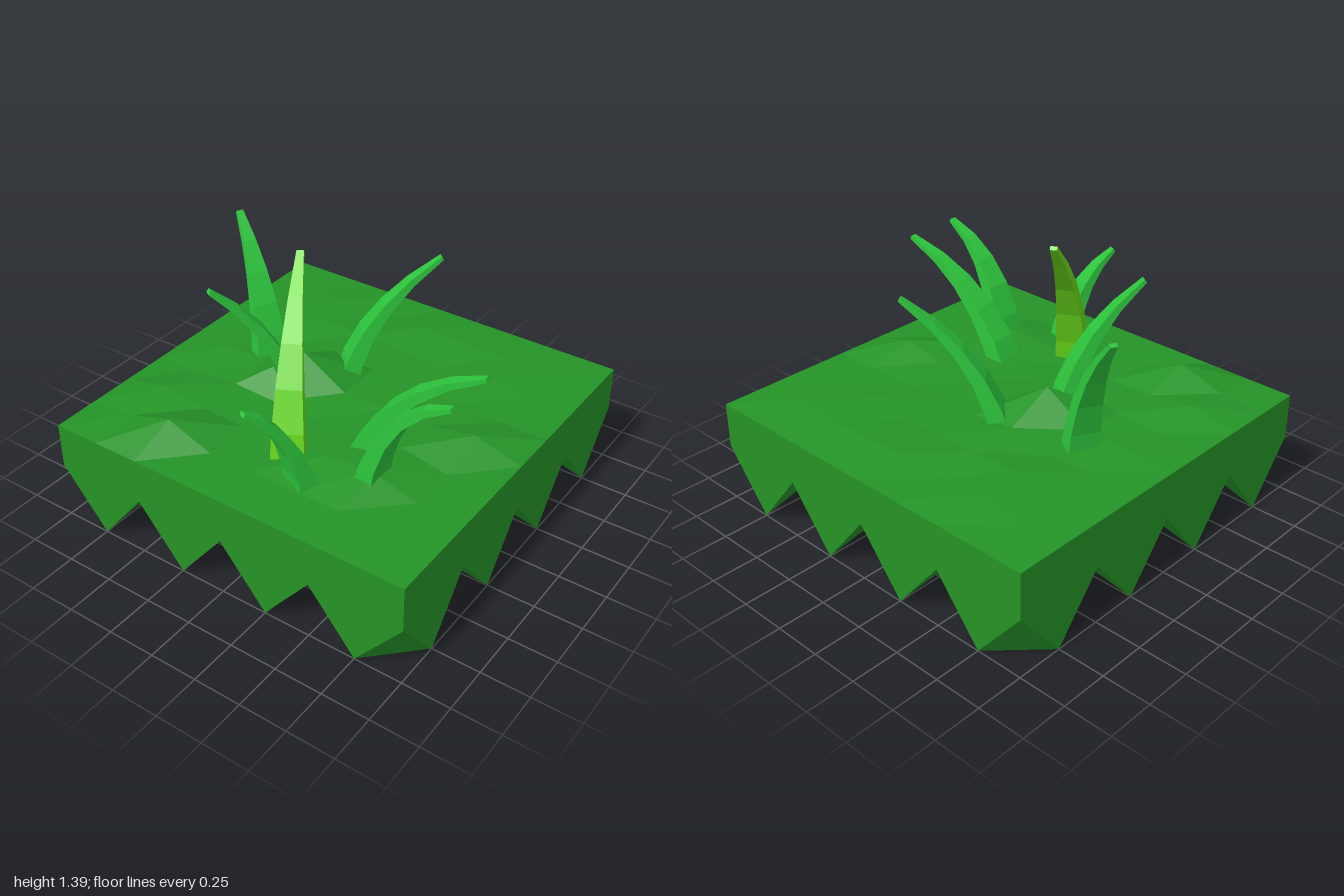
import * as THREE from 'three';

const paint = (color) => new THREE.MeshStandardMaterial({ color, flatShading: true });
const V = (x, y, z) => new THREE.Vector3(x, y, z);
const TOP = 0.55, NOTCH = 0.31, CELL = 0.25;

function part(geometry, material, name) {
  const mesh = new THREE.Mesh(geometry, material);
  mesh.name = name;
  return mesh;
}

// Move every vertex of a geometry by a rule, then refresh the normals
function reshape(geometry, rule) {
  const p = geometry.attributes.position, v = V(0, 0, 0);
  for (let i = 0; i < p.count; i++) {
    v.fromBufferAttribute(p, i);
    rule(v);
    p.setXYZ(i, v.x, v.y, v.z);
  }
  geometry.computeVertexNormals();
  return geometry;
}

const onRim = (v) => Math.max(Math.abs(v.x), Math.abs(v.z)) > 0.99;

// Gentle hills: a few marked bumps, small seeded noise elsewhere
const bumps = [
  [-0.25, 0, 0.72], [-0.5, 0.75, 0.645], [-0.75, 0.5, 0.6], [0.75, 0, 0.625],
  [0.5, 0.5, 0.62], [0.25, 0.5, 0.6], [0.5, 0.25, 0.6], [-0.25, -0.25, 0.6],
  [-0.5, -0.75, 0.58], [0.5, -0.5, 0.58], [0.75, -0.25, 0.555],
];
function hillHeight(x, z) {
  const bump = bumps.find(([bx, bz]) => Math.hypot(bx - x, bz - z) < 0.01);
  if (bump) return bump[2];
  const n = Math.abs(Math.sin(x * 51.7 + z * 93.1 + 2)) * 43.7;
  return TOP + 0.03 * (n - Math.floor(n));
}

function createGround() {
  const group = new THREE.Group();
  group.name = 'ground';
  const green = paint(0x259427);

  // Faceted top surface
  const top = new THREE.PlaneGeometry(2, 2, 8, 8).rotateX(-Math.PI / 2);
  group.add(part(reshape(top, (v) => { v.y = onRim(v) ? TOP : hillHeight(v.x, v.z); }), green, 'topSurface'));

  // Underside: every second rim vertex is pulled down into a tooth
  const under = new THREE.PlaneGeometry(2, 2, 8, 8).rotateX(Math.PI / 2).rotateY(Math.PI / 2);
  const isTooth = (c) => Math.abs(Math.round(c / CELL)) % 2 === 1;
  group.add(part(reshape(under, (v) => {
    v.y = onRim(v) && (isTooth(v.x) || isTooth(v.z)) ? 0 : NOTCH;
  }), green, 'underside'));

  // Four jagged side walls
  const outline = new THREE.Shape();
  outline.moveTo(1, TOP);
  outline.lineTo(-1, TOP);
  for (let i = 0; i <= 8; i++) outline.lineTo(-1 + i * CELL, i % 2 ? 0 : NOTCH);
  for (let i = 0; i < 4; i++) {
    const wall = new THREE.ShapeGeometry(outline).translate(0, 0, 1).rotateY(i * Math.PI / 2);
    group.add(part(wall, green, 'sideWall' + (i + 1)));
  }
  return group;
}

// Curved, tapering blade with a flat rectangular section
function bladeGeometry([bx, bz], [tx, ty, tz], bend, rise) {
  const base = V(bx, 0.48, bz), tip = V(tx, ty, tz);
  const control = base.clone().lerp(tip, bend);
  control.y = rise;
  const curve = new THREE.QuadraticBezierCurve3(base, control, tip);
  const across = V(tz - bz, 0, bx - tx).normalize();
  return reshape(new THREE.BoxGeometry(1, 1, 1, 1, 5, 1), (v) => {
    const t = THREE.MathUtils.clamp(v.y + 0.5, 0, 1);
    const normal = across.clone().cross(curve.getTangent(t));
    const width = 0.035 + 0.135 * (1 - Math.pow(t, 1.25));
    const depth = 0.02 + 0.08 * (1 - t);
    const { x, z } = v;
    v.copy(curve.getPoint(t)).addScaledVector(across, x * width).addScaledVector(normal, z * depth);
  });
}

export function createModel() {
  const model = new THREE.Group();
  model.name = 'grassTile';
  model.add(createGround());

  const grass = paint(0x2dc43c), lime = paint(0x66d41a);

  // Base [x, z], tip [x, y, z], sideways bend, height of the bend
  const blades = [
    [[-0.54, -0.09], [-0.835, 1.245, -0.245], 0.12, 0.95],
    [[-0.235, 0.11], [-0.47, 1.21, 0.44], 0.12, 0.92],
    [[-0.125, -0.18], [0.24, 1.2, -0.49], 0.15, 0.9],
    [[0.28, 0.295], [0.9, 1.115, 0.205], 0.27, 0.96],
    [[0.475, 0.485], [0.9, 1.125, 0.5], 0.14, 1.0],
    [[0.235, 0.67], [0.125, 1.04, 0.94], 0.15, 0.88],
  ];
  blades.forEach((b, i) => model.add(part(bladeGeometry(...b), grass, 'grassBlade' + (i + 1))));
  model.add(part(bladeGeometry([0.075, 0.57], [-0.165, 1.38, 0.125], 0.1, 1.0), lime, 'limeBlade'));

  // Small root stub poking out underneath
  const stub = part(new THREE.BoxGeometry(0.12, 0.12, 0.12), grass, 'rootStub');
  stub.position.set(0.3, 0.3, -0.22);
  model.add(stub);
  return model;
}
